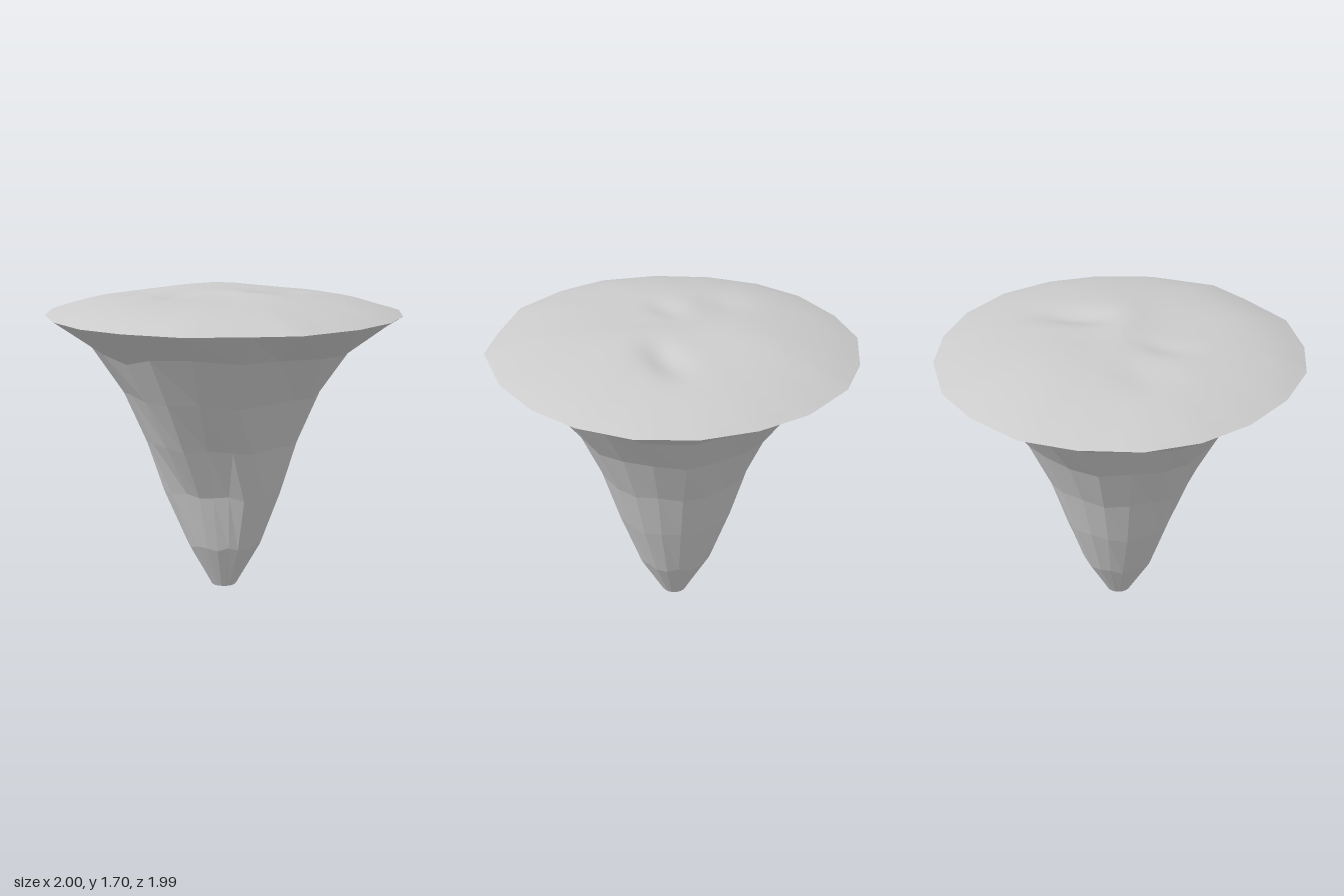
import * as THREE from 'three';

// Irregular rim corners (x, z), counted from +x round through the front
const RIM = [
  [1, 0], [0.96, 0.3], [0.82, 0.59], [0.6, 0.8], [0.34, 0.93],
  [0.02, 0.99], [-0.36, 0.95], [-0.57, 0.8], [-0.83, 0.58], [-0.96, 0.28],
  [-1, 0], [-0.93, -0.31], [-0.78, -0.59], [-0.57, -0.81], [-0.31, -0.95],
  [0.01, -1], [0.31, -0.97], [0.6, -0.81], [0.81, -0.61], [0.96, -0.3],
];
const SIDES = RIM.length;
const RIM_Y = 1.57;

// Rock rings below the rim: height, radius, bulge or dent on the front right side
const RINGS = [
  [1.39, 0.73, 0.06], [1.14, 0.55, 0.04], [0.86, 0.425, -0.02],
  [0.57, 0.335, -0.09], [0.25, 0.21, -0.03], [0, 0.07, 0],
];

const hill = (x, z, cx, cz, w, d) =>
  Math.exp(-(((x - cx) / w) ** 2) - ((z - cz) / d) ** 2);

// Ground height: a shallow dome with hollows and low ridges
function groundHeight(x, z, t) {
  const dome = 0.115 * (1 - t ** 3.2);
  const relief = 0.022 * hill(x, z, 0.3, -0.3, 0.25, 0.3)
    - 0.035 * hill(x, z, 0.3, 0.18, 0.2, 0.09)
    - 0.022 * hill(x, z, -0.2, -0.4, 0.16, 0.14)
    - 0.02 * hill(x, z, -0.27, -0.08, 0.12, 0.08)
    + 0.016 * hill(x, z, 0.02, 0.15, 0.12, 0.25)
    + 0.006 * Math.sin(5 * x + 2 * z) * Math.sin(6 * z - 2 * x);
  return RIM_Y + dome + relief * (1 - t ** 4);
}

// Joins rings of equal length, listed from the top down, into an outward skin
function loft(rings) {
  const n = rings[0].length, index = [];
  for (let r = 0; r < rings.length - 1; r++) {
    for (let i = 0; i < n; i++) {
      const j = (i + 1) % n;
      const a = r * n + i, b = r * n + j, c = a + n, d = b + n;
      index.push(a, b, c, b, d, c);
    }
  }
  const geometry = new THREE.BufferGeometry();
  geometry.setAttribute('position', new THREE.Float32BufferAttribute(rings.flat(2), 3));
  geometry.setIndex(index);
  geometry.computeVertexNormals();
  return geometry;
}

function rockGeometry() {
  const rings = [RIM.map(([x, z]) => [x, RIM_Y, z])];
  RINGS.forEach(([y, radius, bulge], k) => {
    rings.push(RIM.map(([x, z], i) => {
      const a = Math.atan2(z, x);
      const side = Math.exp(-(((i - 8) / 1.7) ** 2));
      const left = Math.exp(-(((i - 10) / 1.3) ** 2));
      const dent = k === 0 ? -0.05 * left : k === 3 ? -0.04 * left : 0;
      const r = radius + bulge * side + dent;
      // the upper rings waver, the foot is level
      const lift = k < 5 ? 0.012 * Math.cos(i * 2.2 + k) + (k === 0 ? 0.03 * side - 0.03 * left : 0) : 0;
      return [Math.cos(a) * r + (k > 3 ? 0.015 : 0), y + lift, Math.sin(a) * r];
    }));
  });
  // flat foot
  rings.push(RIM.map(() => [0.015, 0, 0]));
  return loft(rings);
}

function groundGeometry() {
  const rings = [], steps = 18, split = 3;
  for (let s = 0; s <= steps; s++) {
    const t = s / steps, ring = [];
    for (let i = 0; i < SIDES * split; i++) {
      const p = RIM[Math.floor(i / split)], q = RIM[(Math.floor(i / split) + 1) % SIDES];
      const f = (i % split) / split;
      const x = t * THREE.MathUtils.lerp(p[0], q[0], f);
      const z = t * THREE.MathUtils.lerp(p[1], q[1], f);
      ring.push([x, groundHeight(x, z, t), z]);
    }
    rings.push(ring);
  }
  return loft(rings);
}

export function createModel() {
  const island = new THREE.Group();
  island.name = 'floatingIsland';

  // Faceted rock tapering to a narrow foot
  const rock = new THREE.Mesh(rockGeometry(),
    new THREE.MeshStandardMaterial({ color: 0xcccccc, flatShading: true }));
  rock.name = 'rockUnderside';

  // Smooth rolling ground on top
  const ground = new THREE.Mesh(groundGeometry(),
    new THREE.MeshStandardMaterial({ color: 0xcccccc }));
  ground.name = 'groundTop';

  island.add(rock, ground);
  return island;
}
